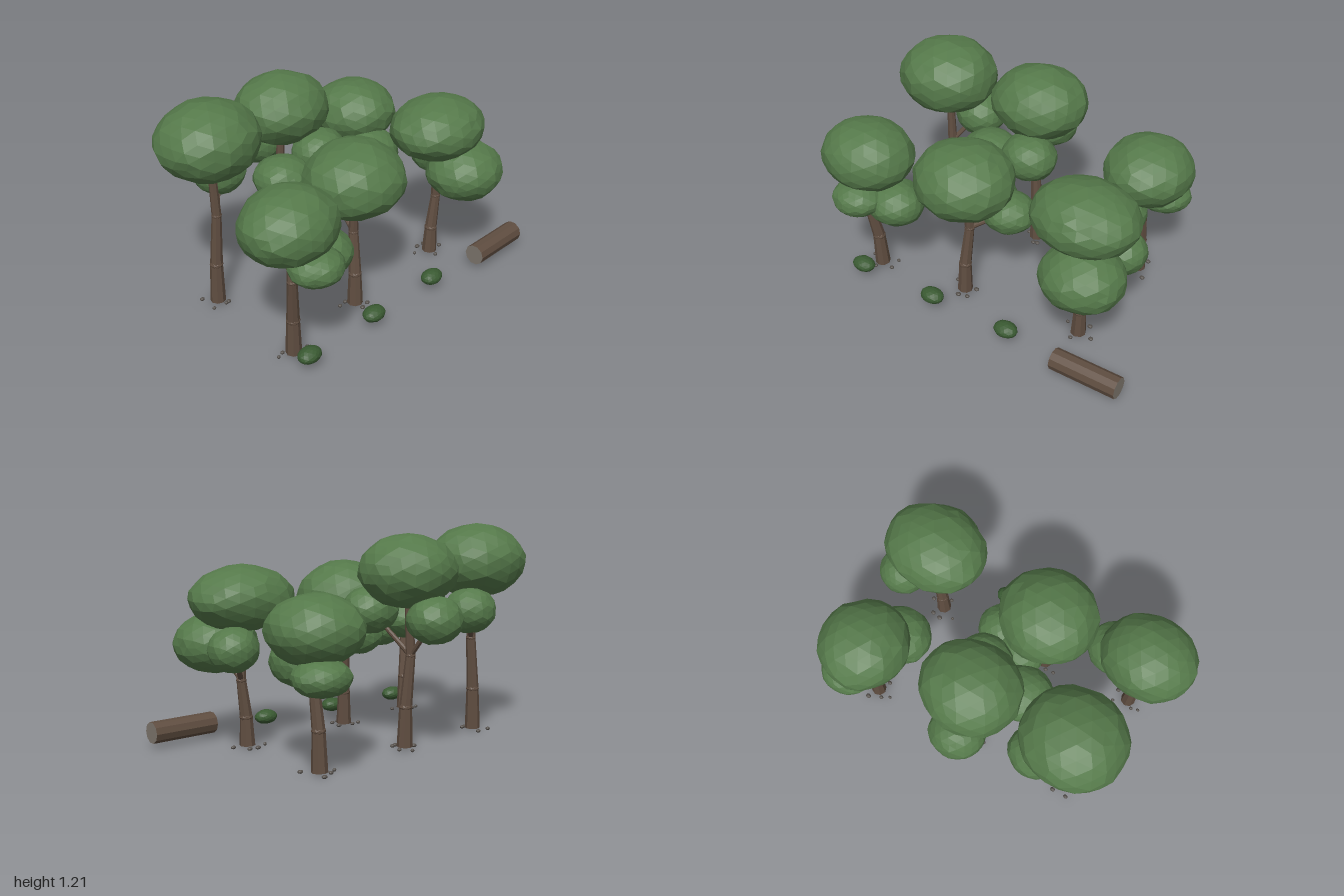
import * as THREE from 'three';
import { mergeVertices } from 'three/addons/utils/BufferGeometryUtils.js';

const flat = (color) => new THREE.MeshStandardMaterial({ color, flatShading: true });
const LEAF = flat(0x55794a), BUSH = flat(0x3a5a32), BARK = flat(0x5f4d40);
const CUT = flat(0x7d756c), STONE = flat(0x55504b);

let seed = 7;
const rand = () => ((seed = (seed * 16807) % 2147483647) / 2147483647);
const vec = (x, y, z) => new THREE.Vector3(x, y, z);

// faceted, slightly uneven ellipsoid with the given centre and radii
function blob(name, centre, radii, material, detail = 3, noise = 0.025) {
  let g = new THREE.IcosahedronGeometry(1, detail);
  g.deleteAttribute('normal');
  g.deleteAttribute('uv');
  g = mergeVertices(g, 1e-3);
  const p = g.attributes.position;
  const v = vec(0, 0, 0);
  for (let i = 0; i < p.count; i++) {
    v.fromBufferAttribute(p, i).multiplyScalar(1 + (rand() - 0.5) * 2 * noise);
    p.setXYZ(i, v.x, v.y, v.z);
  }
  g.scale(radii.x, radii.y, radii.z);
  g.computeVertexNormals();
  const m = new THREE.Mesh(g, material);
  m.name = name;
  m.position.copy(centre);
  return m;
}

// tapered eight-sided piece of wood between two points
function limb(name, a, b, ra, rb) {
  const dir = b.clone().sub(a);
  const m = new THREE.Mesh(new THREE.CylinderGeometry(rb, ra, dir.length(), 8), BARK);
  m.name = name;
  m.position.copy(a).addScaledVector(dir, 0.5);
  m.quaternion.setFromUnitVectors(vec(0, 1, 0), dir.normalize());
  return m;
}

// foot and bend shape the trunk, which ends in the crown;
// each clump is x, y, z, radius, half height
function tree(name, foot, bend, crown, radii, ...clumps) {
  const g = new THREE.Group();
  g.name = name;

  // bent trunk with a knot at every bend
  const elbow = foot.clone().lerp(bend, 0.15).setY(bend.y * 0.45);
  const path = [foot, elbow, bend, crown];
  for (let i = 0; i < 3; i++) {
    const r = 0.044 - i * 0.0085;
    g.add(limb('trunkSection', path[i], path[i + 1], r, r - 0.0085));
    if (i) g.add(blob('knot', path[i], vec(r * 1.08, r * 0.7, r * 1.08), BARK, 1, 0));
  }

  // crown, and lower clumps each on its own branch
  g.add(blob('crown', crown, radii, LEAF));
  for (const [x, y, z, r, h] of clumps) {
    const centre = vec(x, y, z);
    g.add(limb('branch', bend, centre, 0.016, 0.01));
    g.add(blob('leafClump', centre, vec(r, h, r * 0.93), LEAF));
  }

  // pebbles around the foot
  for (let i = 0; i < 5; i++) {
    const a = i * 1.257 + rand() * 1.2, d = 0.055 + rand() * 0.045, s = 0.008 + rand() * 0.006;
    const spot = vec(foot.x + Math.cos(a) * d, 0.01, foot.z + Math.sin(a) * d);
    g.add(blob('pebble', spot, vec(s * 1.2, 0.01, s), STONE, 1, 0));
  }
  return g;
}

export function createModel() {
  const model = new THREE.Group();
  model.name = 'grove';

  // back row
  model.add(tree('backLeftTree', vec(0.6, 0.012, -0.42), vec(0.61, 0.5, -0.385),
    vec(0.617, 0.735, -0.41), vec(0.252, 0.185, 0.262),
    [0.535, 0.545, -0.2, 0.18, 0.14], [0.67, 0.52, -0.53, 0.157, 0.097]));
  model.add(tree('backMiddleTree', vec(-0.06, 0.012, -0.335), vec(-0.085, 0.52, -0.35),
    vec(-0.062, 0.98, -0.35), vec(0.28, 0.2, 0.256),
    [-0.26, 0.69, -0.145, 0.17, 0.115], [0.01, 0.755, -0.125, 0.162, 0.132],
    [-0.09, 0.73, -0.53, 0.16, 0.13]));
  model.add(tree('backRightTree', vec(-0.655, 0.012, -0.28), vec(-0.635, 0.55, -0.275),
    vec(-0.65, 1, -0.29), vec(0.292, 0.21, 0.272),
    [-0.5, 0.735, -0.39, 0.155, 0.13]));

  // front row
  model.add(tree('frontRightTree', vec(-0.705, 0.012, 0.37), vec(-0.745, 0.48, 0.41),
    vec(-0.73, 0.79, 0.378), vec(0.272, 0.195, 0.242),
    [-0.53, 0.555, 0.41, 0.168, 0.125], [-0.695, 0.6, 0.53, 0.15, 0.095]));
  model.add(tree('frontMiddleTree', vec(-0.15, 0.012, 0.3), vec(-0.13, 0.45, 0.265),
    vec(-0.145, 0.785, 0.28), vec(0.287, 0.207, 0.272),
    [0.06, 0.57, 0.155, 0.155, 0.112], [-0.09, 0.58, 0.09, 0.145, 0.11]));
  model.add(tree('frontLeftTree', vec(0.58, 0.012, 0.25), vec(0.61, 0.38, 0.255),
    vec(0.593, 0.832, 0.257), vec(0.3, 0.18, 0.252),
    [0.672, 0.577, 0.405, 0.235, 0.168], [0.745, 0.58, 0.12, 0.14, 0.122]));

  // row of low bushes along the front
  for (const x of [-0.73, -0.23, 0.27]) {
    model.add(blob('bush', vec(x, 0.077, 0.51), vec(0.071, 0.042, 0.054), BUSH, 2));
  }

  // fallen log with pale cut ends
  const log = new THREE.Mesh(new THREE.CylinderGeometry(0.061, 0.061, 0.39, 10), [BARK, CUT, CUT]);
  log.name = 'fallenLog';
  log.rotation.z = Math.PI / 2;
  log.position.set(0.805, 0.088, 0.56);
  model.add(log);
  return model;
}
